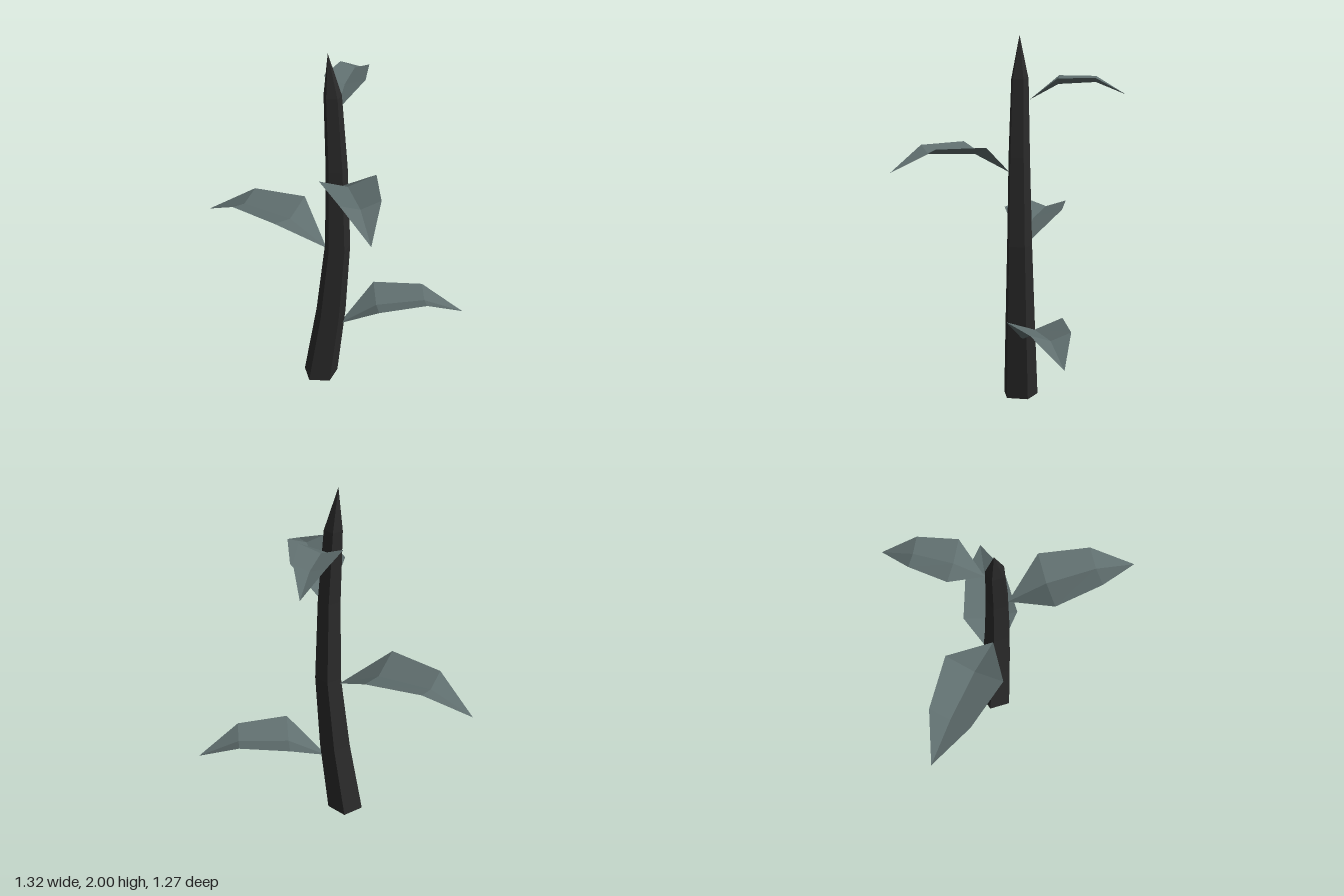
import * as THREE from 'three';

const stemMat = new THREE.MeshStandardMaterial({ color: 0x2a2a2a, flatShading: true });
stemMat.name = 'charcoal stem';
const leafMat = new THREE.MeshStandardMaterial({ color: 0x5f6e6e, flatShading: true, side: THREE.DoubleSide });
leafMat.name = 'grey green leaf';

function facetedMesh(name, positions, index, material) {
  let g = new THREE.BufferGeometry();
  g.setAttribute('position', new THREE.Float32BufferAttribute(positions, 3));
  g.setIndex(index);
  g = g.toNonIndexed();
  g.computeVertexNormals();
  const mesh = new THREE.Mesh(g, material);
  mesh.name = name;
  return mesh;
}

// Bent five-sided stem, lofted through rings and closed with a point
function makeStem() {
  const sides = 5;
  const rings = [ // x, y, z, radius
    [-0.139, 0, -0.148, 0.1],
    [-0.083, 0.44, -0.116, 0.086],
    [-0.047, 0.88, -0.095, 0.072],
    [-0.05, 1.36, -0.094, 0.061],
    [-0.065, 1.77, -0.105, 0.049],
  ];
  const pos = [], idx = [];
  for (const [x, y, z, r] of rings) {
    for (let i = 0; i < sides; i++) {
      const a = (i / sides) * Math.PI * 2;
      pos.push(x + r * Math.cos(a), y, z + r * Math.sin(a));
    }
  }
  const tip = rings.length * sides;
  pos.push(-0.085, 2, -0.115, -0.139, 0, -0.148);
  const last = (rings.length - 1) * sides;
  for (let i = 0; i < sides; i++) {
    const j = (i + 1) % sides;
    for (let k = 0; k < last; k += sides) {
      idx.push(k + j, k + i, k + sides + i, k + j, k + sides + i, k + sides + j);
    }
    idx.push(last + j, last + i, tip); // pointed top
    idx.push(i, j, tip + 1); // base cap
  }
  return facetedMesh('stem', pos, idx, stemMat);
}

// Folded leaf growing along +z from its attachment point
function makeLeaf({ name, base, dir, scale }) {
  const pos = [
    0, 0, 0,
    -0.148, 0.16, 0.2, 0, 0.11, 0.2, 0.148, 0.16, 0.2,
    -0.105, 0.16, 0.46, 0, 0.125, 0.46, 0.105, 0.16, 0.46,
    0, 0.04, 0.67,
  ];
  const idx = [
    0, 1, 2, 0, 2, 3,
    1, 4, 5, 1, 5, 2, 2, 5, 6, 2, 6, 3,
    4, 7, 5, 5, 7, 6,
  ];
  const leaf = facetedMesh(name, pos, idx, leafMat);
  leaf.position.set(...base);
  leaf.rotation.y = Math.atan2(dir[0], dir[1]);
  leaf.scale.setScalar(scale);
  return leaf;
}

export function createModel() {
  const plant = new THREE.Group();
  plant.name = 'plant';
  plant.add(makeStem());
  const leaves = [ // dir is the outward heading in x, z
    { name: 'lowestLeaf', base: [-0.035, 0.35, -0.115], dir: [0.987, 0.16], scale: 1.05 },
    { name: 'lowerLeaf', base: [-0.097, 0.85, -0.14], dir: [-0.75, -0.665], scale: 1.125 },
    { name: 'upperLeaf', base: [-0.05, 1.28, -0.04], dir: [-0.008, 1], scale: 1 },
    { name: 'topLeaf', base: [-0.033, 1.663, -0.15], dir: [0.5, -0.87], scale: 0.755 },
  ];
  leaves.forEach((l) => plant.add(makeLeaf(l)));
  return plant;
}
